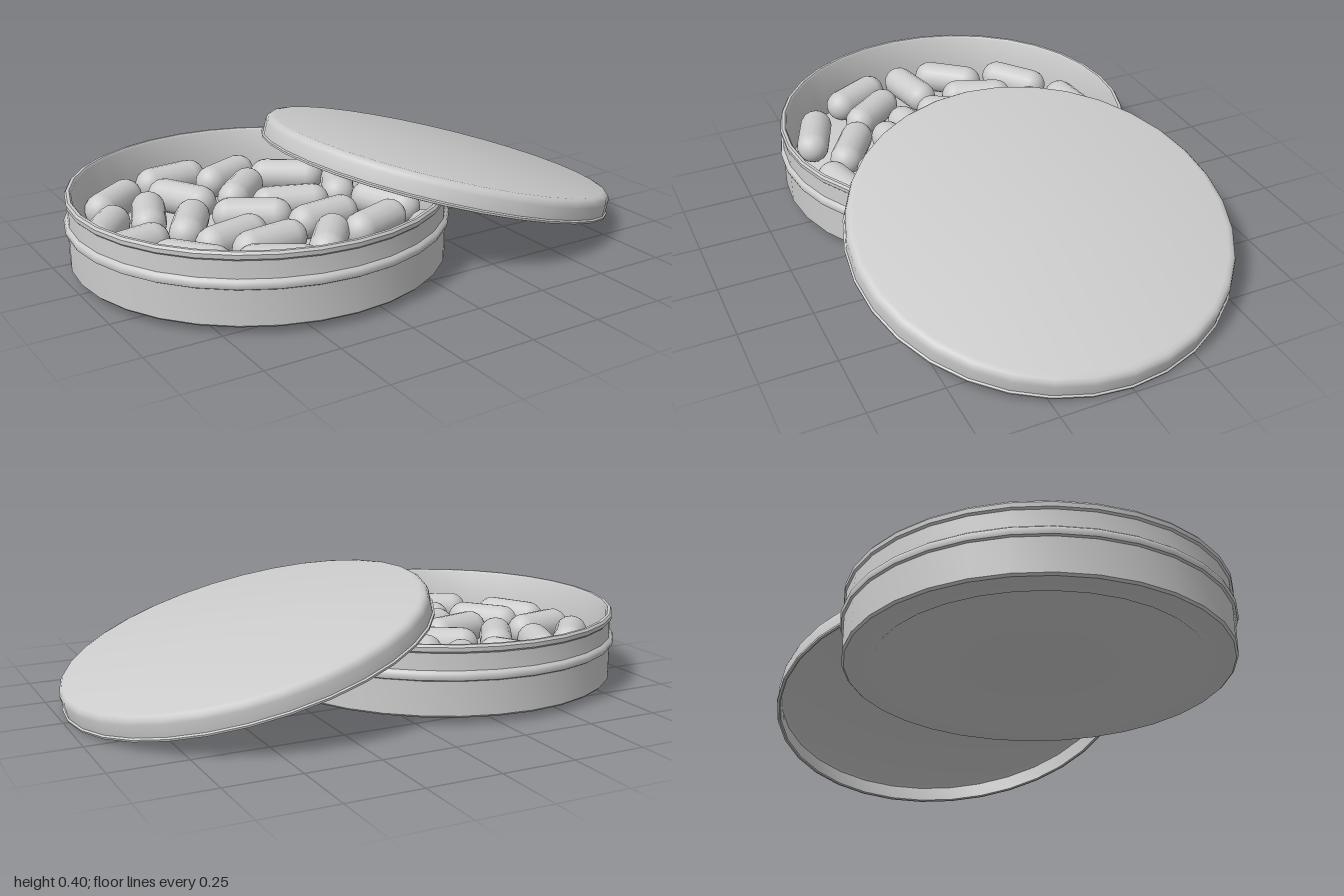
import * as THREE from 'three';
import { toCreasedNormals } from 'three/addons/utils/BufferGeometryUtils.js';

const material = new THREE.MeshStandardMaterial({ color: 0xcccccc });

// Turned part: smooth around, creased at sharp profile corners
function turned(name, profile) {
  const points = profile.map(([r, y]) => new THREE.Vector2(r, y));
  const mesh = new THREE.Mesh(toCreasedNormals(new THREE.LatheGeometry(points, 32), 0.7), material);
  mesh.name = name;
  return mesh;
}

// Capsules lying on the tin floor: x, z, heading in degrees
const CAPSULES = [
  [-0.44, -0.54, 6], [-0.25, -0.47, 25], [-0.71, -0.42, 37], [-0.49, -0.33, -62],
  [-0.275, -0.295, 45], [-0.66, -0.23, 68], [-0.835, -0.18, 50], [-0.575, -0.085, 58],
  [-0.355, -0.055, -32], [-0.815, -0.005, 12], [-0.51, 0.095, 14], [-0.425, 0.2, 8],
  [-0.7, 0.2, -52], [-0.84, 0.22, -62], [-0.48, 0.36, -33], [-0.62, 0.46, -22],
  [-0.235, 0.47, 12], [-0.25, 0.28, 52], [-0.18, -0.1, -20], [-0.16, 0.09, 8],
  [0.02, 0.4, 40], [-0.05, -0.36, -35], [0.05, -0.16, 60], [0.1, 0.08, -70], [-0.04, 0.23, 20],
];

export function createModel() {
  const model = new THREE.Group();
  model.name = 'capsuleTin';

  // Open tin: recessed base panel, wall with a bead, rolled rim, inner wall and floor
  const tin = turned('tin', [
    [0, 0.035], [0.525, 0.035], [0.535, 0.027], [0.622, 0.027], [0.629, 0.034],
    [0.629, 0.148], [0.636, 0.152], [0.64, 0.164], [0.636, 0.175], [0.627, 0.182],
    [0.625, 0.238], [0.631, 0.244], [0.632, 0.258], [0.626, 0.266], [0.616, 0.266],
    [0.61, 0.258], [0.61, 0.06], [0.535, 0.06], [0.525, 0.066], [0, 0.066],
  ]);
  tin.position.x = -0.36;
  model.add(tin);

  // Hollow lid leaning on the rim of the tin
  const lid = turned('lid', [
    [0, 0.068], [0.614, 0.068], [0.627, 0.058], [0.63, 0.003], [0.635, 0], [0.642, 0.002],
    [0.643, 0.009], [0.637, 0.013], [0.637, 0.054], [0.633, 0.068], [0.624, 0.077],
    [0.61, 0.081], [0, 0.081],
  ]);
  lid.position.set(0.363, 0.17, 0);
  lid.rotation.z = THREE.MathUtils.degToRad(-15.2);
  model.add(lid);

  // Loose capsules
  const capsules = new THREE.Group();
  capsules.name = 'capsules';
  const capsuleGeometry = new THREE.CapsuleGeometry(0.059, 0.155, 6, 16);
  for (const [x, z, heading] of CAPSULES) {
    const capsule = new THREE.Mesh(capsuleGeometry, material);
    capsule.name = 'capsule';
    capsule.position.set(x, 0.124, z);
    capsule.rotation.set(0, THREE.MathUtils.degToRad(heading), Math.PI / 2);
    capsules.add(capsule);
  }
  model.add(capsules);
  return model;
}
